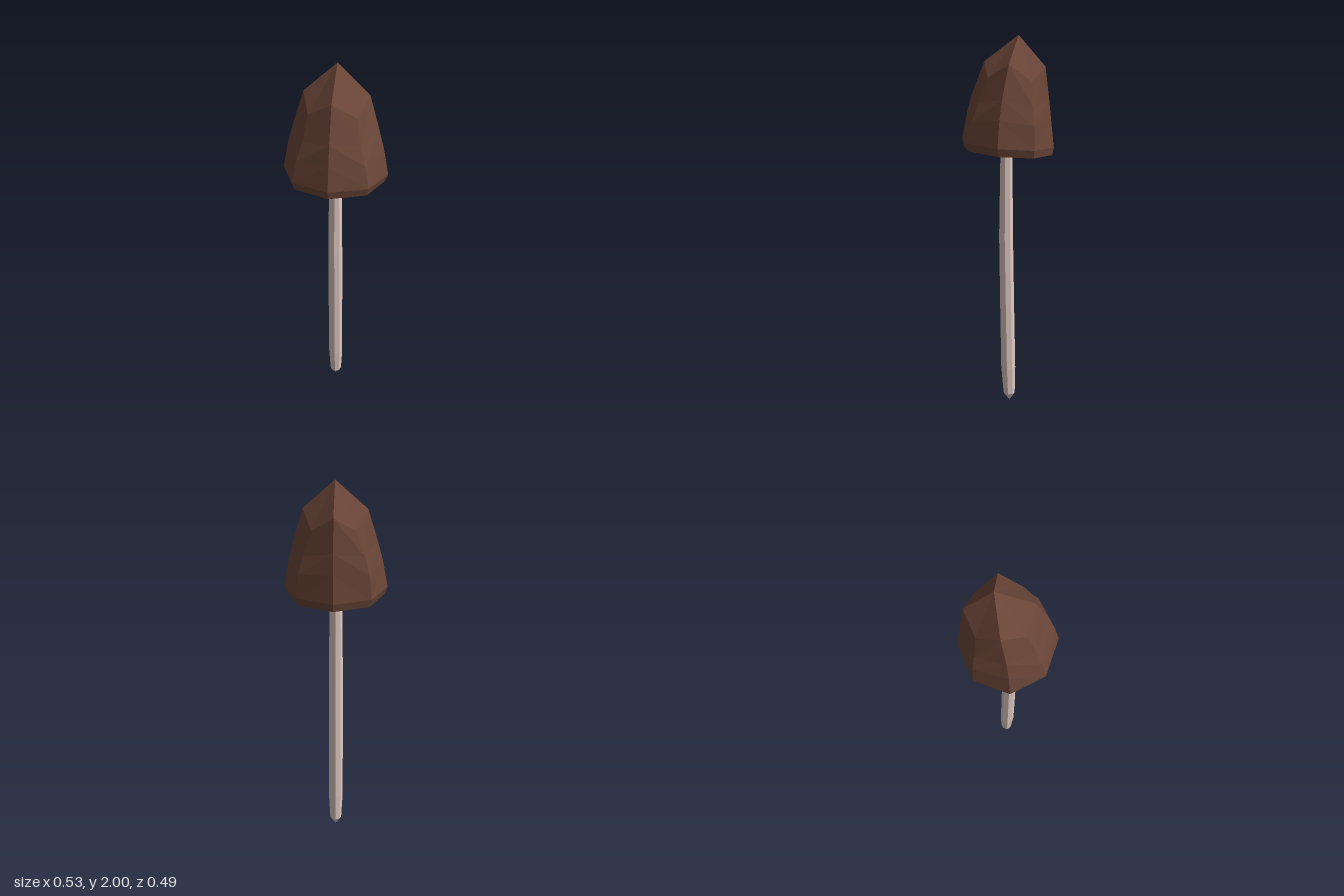
import * as THREE from 'three';

const SIDES = 8;

// Skins a stack of eight-sided rings; radius 0 gives a point.
// Ring: y height, z centre, rx / rz radii, tilt (rise per unit z),
// front / back (radius factors on the diagonals), lift (height added there).
function loft(rings, material, name) {
  const corner = (ring, i) => {
    const { y, z = 0, rx = 0, rz = rx, tilt = 0, front = 1, back = 1, lift = 0 } = ring;
    const odd = i % 2 === 1;
    const a = (i % SIDES) / SIDES * Math.PI * 2;
    const k = !odd ? 1 : Math.sin(a) > 0 ? front : back;
    const pz = z + Math.sin(a) * rz * k;
    return [Math.cos(a) * rx * k, y + pz * tilt + (odd ? lift : 0), pz];
  };
  const positions = [];
  for (let r = 0; r < rings.length - 1; r++) {
    const low = rings[r], high = rings[r + 1];
    for (let i = 0; i < SIDES; i++) {
      const a = corner(low, i), b = corner(low, i + 1);
      const c = corner(high, i), d = corner(high, i + 1);
      if (!low.rx) positions.push(...b, ...c, ...d);
      else if (!high.rx) positions.push(...a, ...c, ...b);
      // Folds alternate so that left and right mirror each other
      else if (i % 2) positions.push(...a, ...c, ...d, ...a, ...d, ...b);
      else positions.push(...a, ...c, ...b, ...b, ...c, ...d);
    }
  }
  const geometry = new THREE.BufferGeometry();
  geometry.setAttribute('position', new THREE.Float32BufferAttribute(positions, 3));
  geometry.computeVertexNormals();
  const mesh = new THREE.Mesh(geometry, material);
  mesh.name = name;
  return mesh;
}

export function createModel() {
  const group = new THREE.Group();
  group.name = 'mushroom';
  const capMaterial = new THREE.MeshStandardMaterial({ color: 0x6b4638, flatShading: true });
  const stemMaterial = new THREE.MeshStandardMaterial({ color: 0xdfc9c1, flatShading: true });

  // Cap: hollow underside, lip, flared rim, pinched waist, four-ridged roof, off-centre tip
  group.add(loft([
    { y: 1.54, z: 0, rx: 0 },
    { y: 1.48, z: 0, rx: 0.19, rz: 0.18, tilt: 0.07 },
    { y: 1.415, z: 0, rx: 0.25, rz: 0.235, tilt: 0.08 },
    { y: 1.455, z: 0, rx: 0.264, rz: 0.243, tilt: 0.08 },
    { y: 1.59, z: -0.005, rx: 0.238, rz: 0.222, tilt: 0.05, front: 0.99, back: 1.04, lift: -0.02 },
    { y: 1.69, z: -0.013, rx: 0.211, rz: 0.203, tilt: 0.05, front: 0.94, back: 1.01, lift: -0.03 },
    { y: 1.86, z: -0.037, rx: 0.16, rz: 0.158, tilt: 0.08, front: 1.04, back: 0.97, lift: -0.075 },
    { y: 2, z: -0.057, rx: 0 },
  ], capMaterial, 'cap'));

  // Stem: slender, gently bowed, pointed at the foot
  group.add(loft([
    { y: 0, z: -0.01, rx: 0 },
    { y: 0.045, z: -0.009, rx: 0.032 },
    { y: 0.2, z: -0.004, rx: 0.04 },
    { y: 0.55, z: 0.002, rx: 0.039 },
    { y: 0.95, z: 0.008, rx: 0.038 },
    { y: 1.4, z: 0.006, rx: 0.032 },
    { y: 1.56, z: 0.002, rx: 0.03 },
    { y: 1.57, z: 0.002, rx: 0 },
  ], stemMaterial, 'stem'));

  return group;
}
